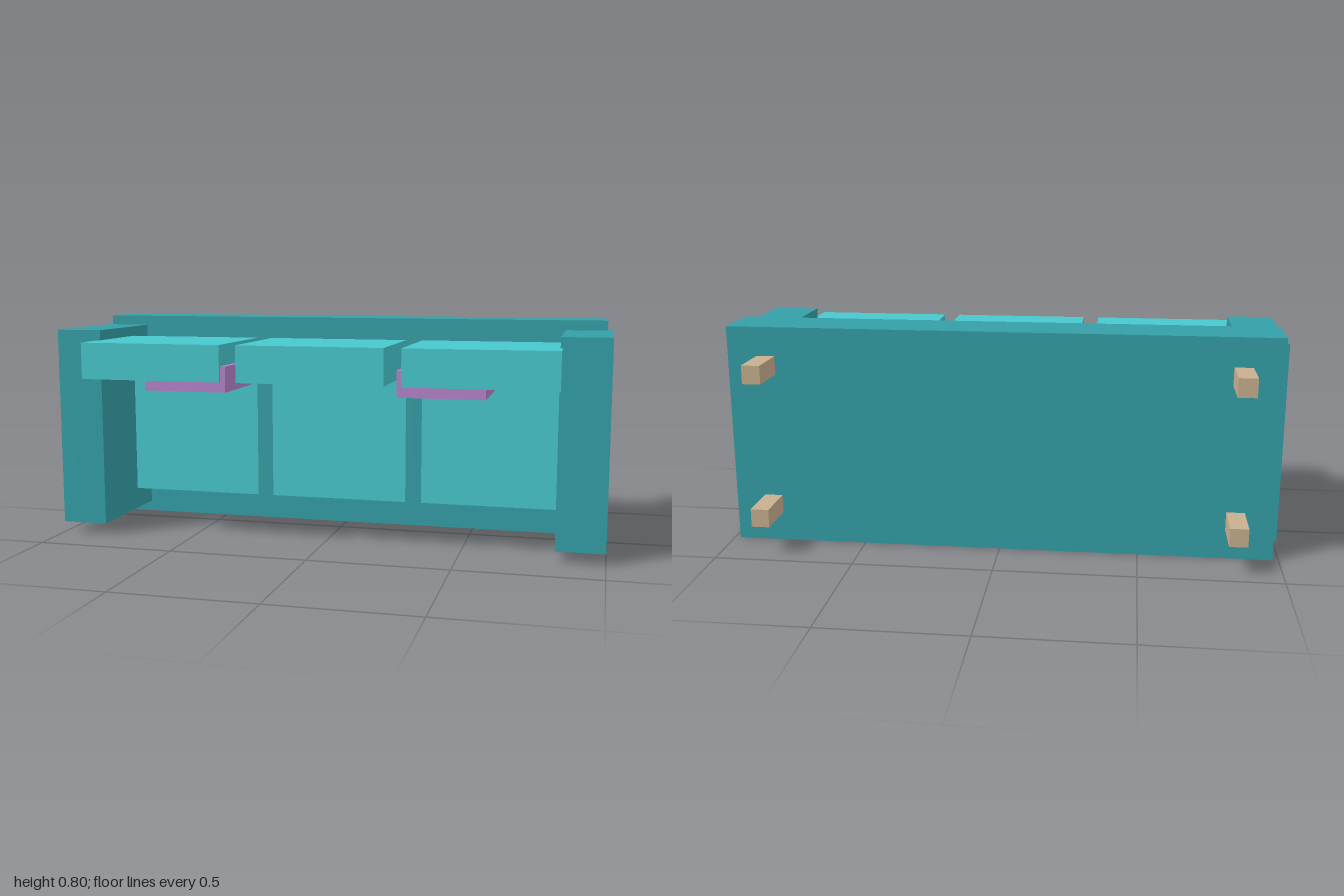
import * as THREE from 'three';

const material = (name, color) => {
  const m = new THREE.MeshStandardMaterial({ color });
  m.name = name;
  return m;
};

// Box given by its extents along x, y and z
function block(name, mat, [x0, x1], [y0, y1], [z0, z1]) {
  const mesh = new THREE.Mesh(new THREE.BoxGeometry(x1 - x0, y1 - y0, z1 - z0), mat);
  mesh.position.set((x0 + x1) / 2, (y0 + y1) / 2, (z0 + z1) / 2);
  mesh.name = name;
  return mesh;
}

export function createModel() {
  const frame = material('teal frame', 0x349fa7);
  const cushion = material('turquoise cushion', 0x47c8cd);
  const wood = material('tan wood', 0xc8b08f);
  const accent = material('purple accent', 0xb584c9);

  const sofa = new THREE.Group();
  sofa.name = 'sofa';

  // Base slab, standing on its long edge
  sofa.add(block('base', frame, [-0.98, 0.98], [0, 0.803], [-0.297, -0.093]));

  // Three seat cushions with a back cushion each
  for (const x of [-0.58, 0, 0.58]) {
    const span = [x - 0.26, x + 0.26];
    sofa.add(block('seatCushion', cushion, span, [0.12, 0.6], [-0.093, 0.04]));
    sofa.add(block('backCushion', cushion, span, [0.6, 0.73], [0.04, 0.458]));
  }

  for (const [side, s] of [['left', 1], ['right', -1]]) {
    const mirrored = (a, b) => (s > 0 ? [a, b] : [-b, -a]);
    sofa.add(block(side + 'Arm', frame, mirrored(0.83, 1), [0.04, 0.767], [-0.215, 0.327]));

    // Throw pillow partly sunk into the back cushion
    sofa.add(block(side + 'Pillow', accent, mirrored(0.302, 0.6), [0.564, 0.655], [0.165, 0.447]));

    // Legs
    for (const y of [0.141, 0.665]) {
      sofa.add(block(side + 'Leg', wood, mirrored(0.808, 0.873), [y - 0.033, y + 0.033], [-0.458, -0.297]));
    }
  }
  return sofa;
}
